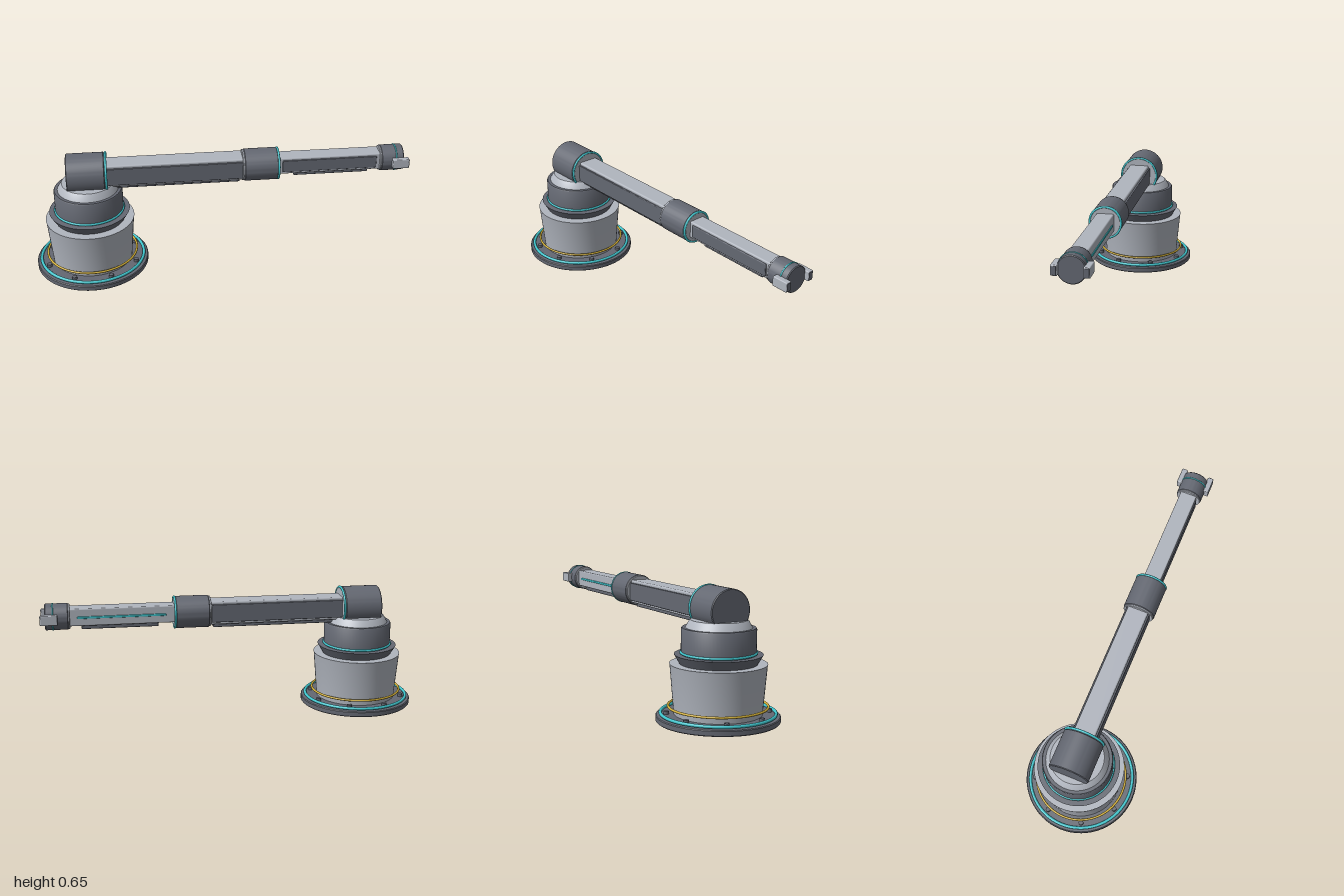
import * as THREE from 'three';
import { RoundedBoxGeometry } from 'three/addons/geometries/RoundedBoxGeometry.js';
import { toCreasedNormals } from 'three/addons/utils/BufferGeometryUtils.js';

const makeMaterial = (name, color) => {
  const m = new THREE.MeshStandardMaterial({ color });
  m.name = name;
  return m;
};

export function createModel() {
  const light = makeMaterial('light grey', 0xb0b5be);
  const dark = makeMaterial('dark grey', 0x646872);
  const cyan = makeMaterial('cyan', 0x3fc4cc);
  const yellow = makeMaterial('yellow', 0xd0ae38);

  const model = new THREE.Group();
  model.name = 'roboticArm';
  const baseX = -0.7, armY = 0.54;

  const add = (parent, name, geometry, material, x = 0, y = 0, z = 0) => {
    const mesh = new THREE.Mesh(geometry, material);
    mesh.name = name;
    mesh.position.set(x, y, z);
    parent.add(mesh);
    return mesh;
  };
  // Turned solid from [radius, height] pairs, closed on the axis
  const turned = (points) => toCreasedNormals(new THREE.LatheGeometry(
    [[0, points[0][1]], ...points, [0, points.at(-1)[1]]].map(([r, y]) => new THREE.Vector2(r, y)), 64), 0.6);
  const ring = (radius, tube) => new THREE.TorusGeometry(radius, tube, 12, 64);
  // Bevelled drum lying along x
  const drum = (parent, name, r, x0, x1, material, bevel = 0.004) => add(parent, name,
    turned([[r - bevel, x0], [r, x0 + bevel], [r, x1 - bevel], [r - bevel, x1]]).rotateZ(-Math.PI / 2),
    material, 0, armY, 0);
  const armRing = (parent, name, radius, tube, x, material) =>
    add(parent, name, ring(radius, tube).rotateY(Math.PI / 2), material, x, armY, 0);
  // Rounded box given by its limits
  const block = (parent, name, x0, x1, y0, y1, z0, z1, material, r = 0.004) => add(parent, name,
    new RoundedBoxGeometry(x1 - x0, y1 - y0, z1 - z0, 2, r), material,
    (x0 + x1) / 2, (y0 + y1) / 2, (z0 + z1) / 2);
  const section = (name) => {
    const g = new THREE.Group();
    g.name = name;
    model.add(g);
    return g;
  };

  // Pedestal
  const base = section('pedestal');
  base.position.x = baseX;
  add(base, 'footPlate', turned([[0.296, 0], [0.3, 0.004], [0.3, 0.026], [0.296, 0.03]]), dark);
  add(base, 'footStep', turned([[0.27, 0.03], [0.27, 0.036]]), dark);
  add(base, 'body', turned([[0.213, 0.036], [0.233, 0.272], [0.235, 0.28]]), light);
  add(base, 'collar', turned([[0.187, 0.28], [0.213, 0.325]]), dark);
  add(base, 'turret', turned([[0.18, 0.325], [0.18, 0.447], [0.176, 0.453]]), dark);
  add(base, 'turretCap', turned([[0.16, 0.453], [0.143, 0.483], [0.136, 0.49]]), light);
  [['footRing', 0.277, 0.008, 0.04, cyan], ['bodyRing', 0.24, 0.006, 0.073, yellow],
    ['turretRing', 0.181, 0.006, 0.333, cyan]].forEach(([name, r, tube, y, m]) =>
    add(base, name, ring(r, tube).rotateX(Math.PI / 2), m, 0, y, 0));
  for (let i = 0; i < 8; i++) {
    const a = (i + 0.5) * Math.PI / 4;
    add(base, 'bolt', new THREE.CylinderGeometry(0.013, 0.013, 0.02, 12), dark,
      Math.cos(a) * 0.25, 0.042, Math.sin(a) * 0.25);
  }

  // Shoulder drum
  const shoulder = section('shoulder');
  drum(shoulder, 'shoulderDrum', 0.106, -0.805, -0.607, dark);
  drum(shoulder, 'shoulderFlange', 0.1, -0.61, -0.596, light, 0.002);
  armRing(shoulder, 'shoulderRing', 0.103, 0.006, -0.6, cyan);

  // Upper arm with side panels and lower rail
  const upper = section('upperArm');
  block(upper, 'upperBeam', -0.61, 0.14, 0.477, 0.6, -0.055, 0.055, light, 0.008);
  for (const s of [-1, 1])
    block(upper, 'sidePanel', -0.6, 0.13, 0.49, 0.586, s * 0.058 - 0.006, s * 0.058 + 0.006, dark);
  block(upper, 'lowerRail', -0.56, 0.1, 0.456, 0.482, -0.03, 0.03, dark);

  // Elbow drum
  const elbow = section('elbow');
  drum(elbow, 'elbowDrum', 0.085, 0.122, 0.3, dark);
  drum(elbow, 'elbowRearFlange', 0.082, 0.113, 0.124, light, 0.002);
  drum(elbow, 'elbowFrontFlange', 0.078, 0.298, 0.307, light, 0.002);
  armRing(elbow, 'elbowRing', 0.081, 0.006, 0.303, cyan);

  // Forearm with front panel, rear light strip and lower rail
  const forearm = section('forearm');
  block(forearm, 'forearmBeam', 0.3, 0.86, 0.495, 0.587, -0.045, 0.045, light, 0.007);
  block(forearm, 'frontPanel', 0.325, 0.83, 0.508, 0.575, 0.042, 0.052, dark);
  block(forearm, 'rearStrip', 0.35, 0.81, 0.534, 0.546, -0.05, -0.042, cyan, 0.003);
  block(forearm, 'forearmRail', 0.39, 0.79, 0.473, 0.498, -0.025, 0.025, dark);

  // Wrist and gripper
  const wrist = section('wrist');
  drum(wrist, 'wristFlange', 0.066, 0.848, 0.858, light, 0.002);
  drum(wrist, 'wristDrum', 0.069, 0.855, 0.975, dark);
  armRing(wrist, 'wristRing', 0.068, 0.004, 0.935, cyan);
  for (const s of [-1, 1]) {
    block(wrist, 'gripperFinger', 0.91, 0.998, 0.514, 0.566, s * 0.075 - 0.016, s * 0.075 + 0.016, light, 0.005);
    block(wrist, 'fingerTip', 0.992, 1, 0.518, 0.562, s * 0.075 - 0.012, s * 0.075 + 0.012, dark, 0.002);
  }
  return model;
}
